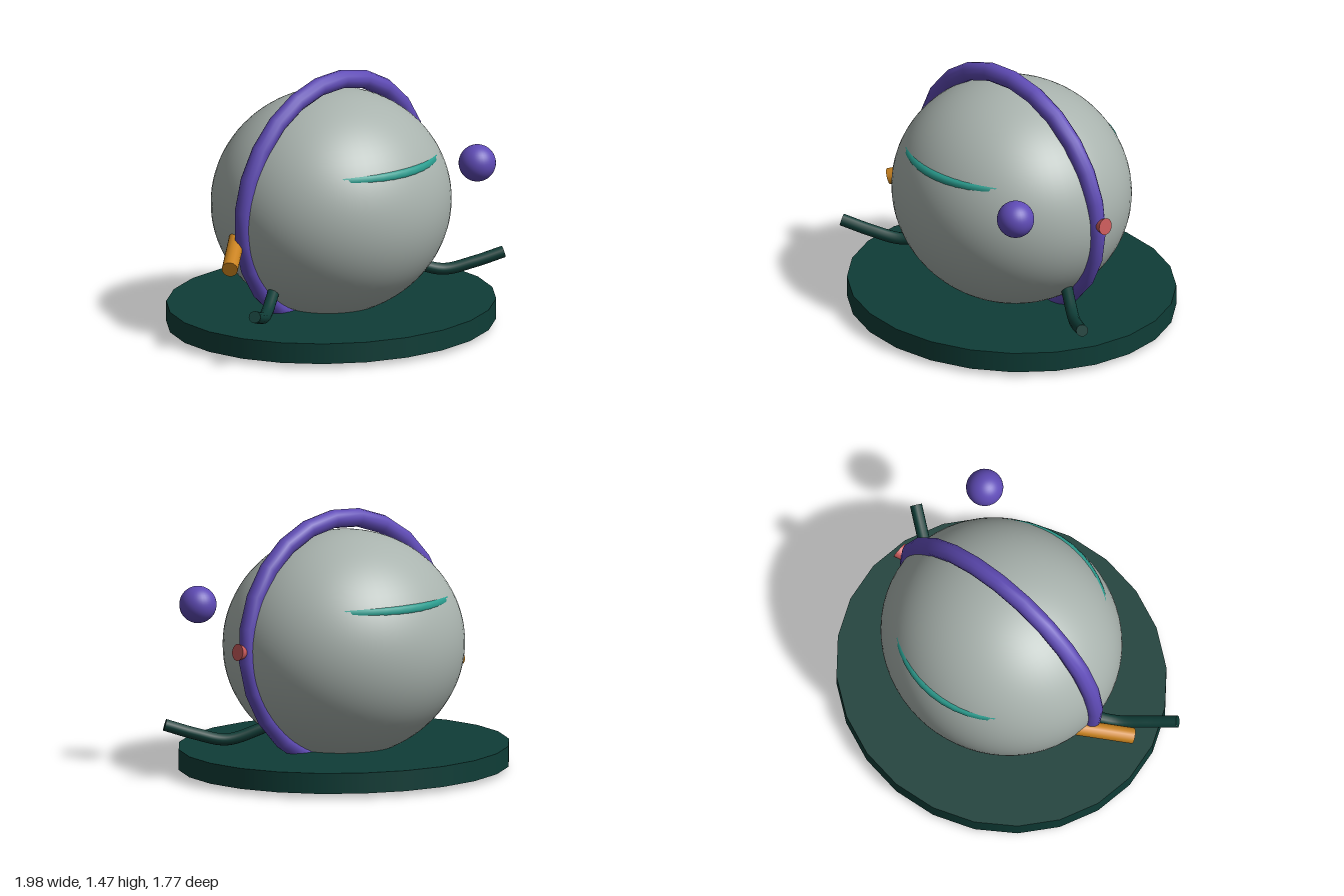
import * as THREE from 'three';

const flat = (name, color) => {
  const m = new THREE.MeshStandardMaterial({ color });
  m.name = name;
  return m;
};

export function createModel() {
  const group = new THREE.Group();
  const grey = flat('paleGrey', 0xa9b3ae);
  const green = flat('darkGreen', 0x0f3d37);
  const purple = flat('purple', 0x5f4bb6);
  const orange = flat('orange', 0xc9821f);
  const red = flat('coralRed', 0xc85a5a);
  const teal = flat('teal', 0x2a9d8f);

  const add = (name, geometry, material, x = 0, y = 0, z = 0) => {
    const mesh = new THREE.Mesh(geometry, material);
    mesh.name = name;
    mesh.position.set(x, y, z);
    group.add(mesh);
    return mesh;
  };
  // turn a mesh's y axis to a direction
  const aim = (mesh, dir) =>
    mesh.quaternion.setFromUnitVectors(new THREE.Vector3(0, 1, 0), dir.clone().normalize());

  // oval base plate
  add('base', new THREE.CylinderGeometry(0.95, 0.95, 0.116, 24), green, 0, 0.097, 0).scale.z = 0.932;

  // body
  add('body', new THREE.SphereGeometry(1, 64, 48), grey, 0, 0.728, 0).scale.set(0.692, 0.635, 0.648);

  // leaning hoop around the body
  add('hoop', new THREE.TorusGeometry(0.685, 0.052, 12, 24), purple, 0, 0.746, 0).rotation.set(0.055, 0, -0.07);

  // level band, mostly sunk in the body, showing at front and back
  add('band', new THREE.TorusGeometry(0.57, 0.03, 8, 48), teal, 0, 0.995, 0).rotation.x = Math.PI / 2;

  // floating ball
  add('ball', new THREE.SphereGeometry(0.104, 32, 24), purple, 0.604, 0.936, 0.545);

  // stud on the hoop: a cone with its base facing out
  const out = new THREE.Vector3(1, 0.15, 0).normalize();
  const stud = add('stud', new THREE.ConeGeometry(0.048, 0.15, 16), red);
  stud.position.set(0.757, 0.76, 0).addScaledVector(out, -0.075);
  aim(stud, out.clone().negate());

  // spout
  const tip = new THREE.Vector3(-0.888, 0.522, 0.1);
  const inward = new THREE.Vector3(1, 0.38, -0.79).normalize();
  const spout = add('spout', new THREE.CylinderGeometry(0.045, 0.045, 0.44, 16), orange);
  spout.position.copy(tip).addScaledVector(inward, 0.22);
  aim(spout, inward);

  // curved arms with closed ends
  for (const [side, name] of [[1, 'leftArm'], [-1, 'rightArm']]) {
    const path = new THREE.CatmullRomCurve3([
      [0.45, 0.34, 0.02], [0.54, 0.29, 0.08], [0.69, 0.234, 0.182],
      [0.83, 0.268, 0.283], [0.97, 0.32, 0.382],
    ].map(([x, y, z]) => new THREE.Vector3(side * x, y, z)));
    add(name, new THREE.TubeGeometry(path, 24, 0.034, 12), green);
    const cap = add(name + 'End', new THREE.CircleGeometry(0.034, 12), green);
    cap.position.copy(path.getPoint(1));
    cap.quaternion.setFromUnitVectors(new THREE.Vector3(0, 0, 1), path.getTangent(1));
  }

  return group;
}
